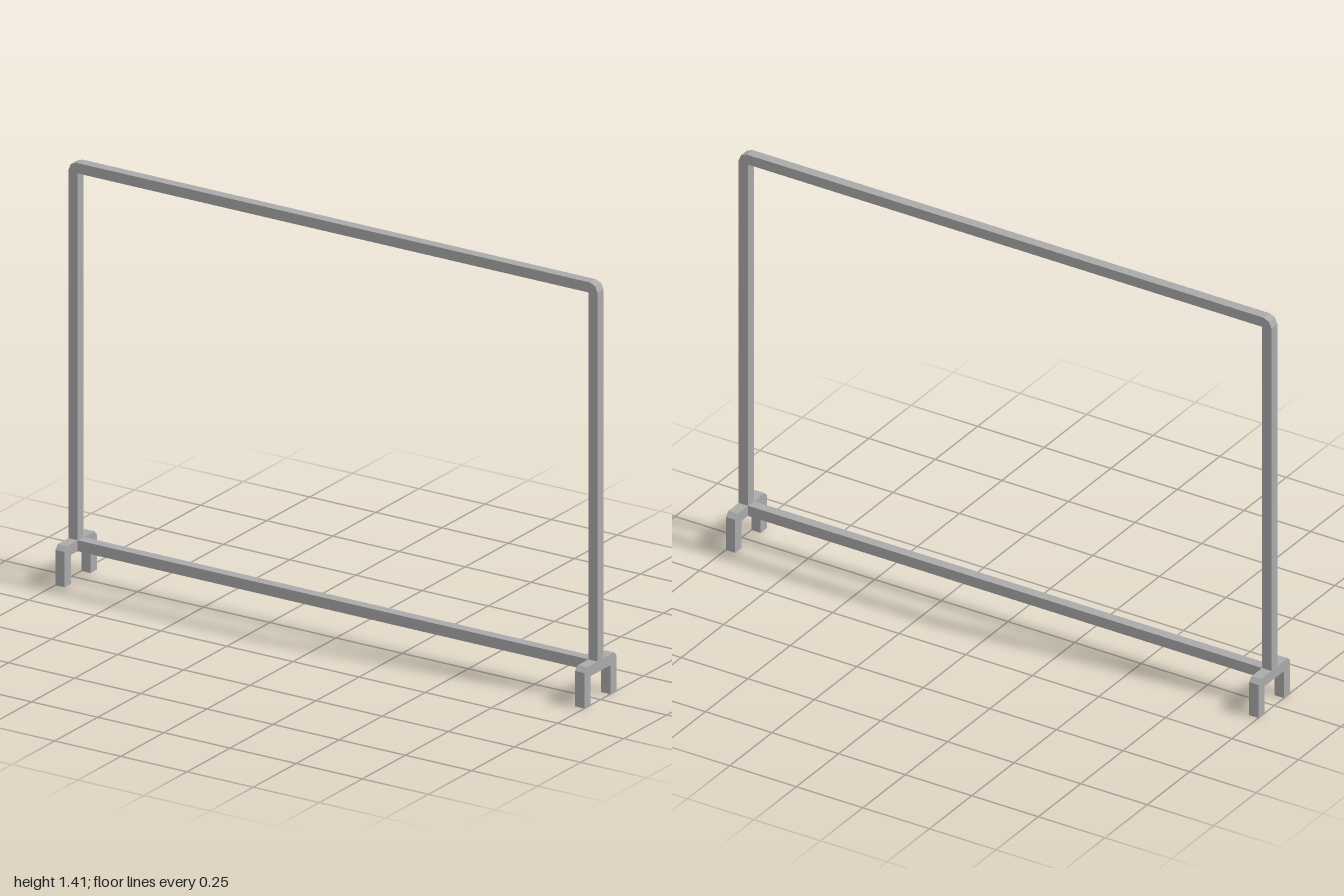
import * as THREE from 'three';

// Square-section arch in the x-y plane with rounded outer corners and open ends
function archGeometry(halfWidth, bottom, top, bar, depth, radius, segments) {
  const outer = [[halfWidth, bottom]];
  const inner = [[halfWidth - bar, bottom]];
  for (const side of [1, -1]) {
    for (let i = 0; i <= segments; i++) {
      const t = (side === 1 ? i : segments - i) / segments * Math.PI / 2;
      outer.push([
        side * (halfWidth - radius + radius * Math.cos(t)),
        top - radius + radius * Math.sin(t),
      ]);
      inner.push([side * (halfWidth - bar), top - bar]);
    }
  }
  outer.push([-halfWidth, bottom]);
  inner.push([bar - halfWidth, bottom]);

  // Four corners of the bar at each step along the path
  const d = depth / 2;
  const sections = outer.map((o, i) => [
    [...o, d], [...o, -d], [...inner[i], -d], [...inner[i], d],
  ]);
  const positions = [];
  for (let i = 0; i < sections.length - 1; i++) {
    const s = sections[i], n = sections[i + 1];
    for (let k = 0; k < 4; k++) {
      const m = (k + 1) % 4;
      positions.push(...s[k], ...s[m], ...n[m], ...s[k], ...n[m], ...n[k]);
    }
  }
  const geometry = new THREE.BufferGeometry();
  geometry.setAttribute('position', new THREE.Float32BufferAttribute(positions, 3));
  geometry.computeVertexNormals();
  return geometry;
}

export function createModel() {
  const group = new THREE.Group();
  const metal = new THREE.MeshStandardMaterial({ color: 0xaaaaaa, side: THREE.DoubleSide });
  metal.name = 'grey metal';

  const add = (name, geometry, x = 0, y = 0, turn = 0) => {
    const mesh = new THREE.Mesh(geometry, metal);
    mesh.name = name;
    mesh.position.set(x, y, 0);
    mesh.rotation.y = turn;
    group.add(mesh);
  };

  // Tall frame: two posts and the top rail
  add('frame', archGeometry(1, 0.135, 1.415, 0.035, 0.035, 0.03, 2));

  // Bottom rail between the feet
  add('bottomRail', new THREE.BoxGeometry(1.93, 0.037, 0.035), 0, 0.1165);

  // Forked feet under each post
  const foot = archGeometry(0.094, 0, 0.135, 0.037, 0.035, 0.015, 1);
  add('leftFoot', foot, 0.9825, 0, Math.PI / 2);
  add('rightFoot', foot, -0.9825, 0, Math.PI / 2);

  return group;
}
